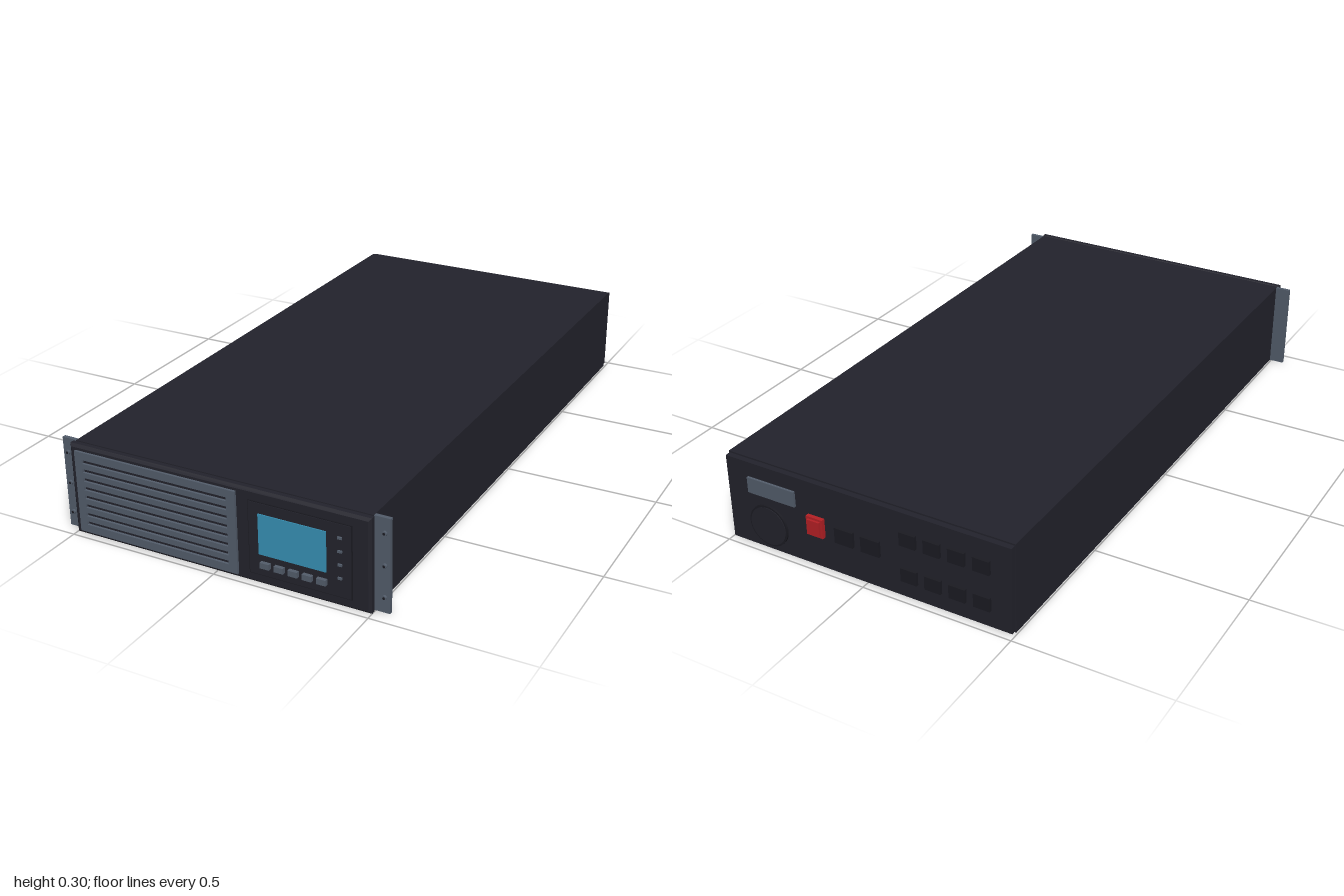
import * as THREE from 'three';

const mat = (name, color) => {
  const m = new THREE.MeshStandardMaterial({ color });
  m.name = name;
  return m;
};

// Rectangle path centred on (x, y)
function rect(path, x, y, w, h) {
  path.moveTo(x - w / 2, y - h / 2);
  path.lineTo(x + w / 2, y - h / 2);
  path.lineTo(x + w / 2, y + h / 2);
  path.lineTo(x - w / 2, y + h / 2);
  path.closePath();
  return path;
}

export function createModel() {
  const model = new THREE.Group();
  model.name = 'rackUnit';
  const dark = mat('dark casing', 0x23232c);
  const black = mat('black trim', 0x1b1b22);
  const slate = mat('slate metal', 0x535d6b);
  const blue = mat('blue screen', 0x3892b6);
  const red = mat('red switch', 0xb52025);

  const add = (name, geometry, material, x = 0, y = 0, z = 0, parent = model) => {
    const mesh = new THREE.Mesh(geometry, material);
    mesh.name = name;
    mesh.position.set(x, y, z);
    parent.add(mesh);
    return mesh;
  };
  // Box spanning z0..z1
  const box = (name, material, x, y, w, h, z0, z1) =>
    add(name, new THREE.BoxGeometry(w, h, z1 - z0), material, x, y, (z0 + z1) / 2);
  // Disc facing along z, spanning z0..z1
  const disc = (name, material, x, y, r, z0, z1) =>
    add(name, new THREE.CylinderGeometry(r, r, z1 - z0, 32).rotateX(Math.PI / 2), material, x, y, (z0 + z1) / 2);

  // Main case
  box('case', dark, 0, 0.149, 0.99, 0.297, -0.962, 0.955);
  box('rearPlate', dark, 0, 0.149, 0.985, 0.286, -0.98, -0.962);

  // Front bezel with chamfered rim
  const bezel = new THREE.ExtrudeGeometry(rect(new THREE.Shape(), 0, 0.149, 0.984, 0.282), {
    depth: 0.014, bevelEnabled: true, bevelThickness: 0.008, bevelSize: 0.008, bevelSegments: 1,
  });
  add('frontBezel', bezel, dark, 0, 0, 0.961);

  // Vent grille with eight open slots
  const grille = rect(new THREE.Shape(), -0.2, 0.149, 0.554, 0.266);
  for (let i = 0; i < 8; i++) {
    grille.holes.push(rect(new THREE.Path(), -0.2015, 0.047 + i * 0.0292, 0.499, 0.012));
  }
  add('ventGrille', new THREE.ExtrudeGeometry(grille, { depth: 0.009, bevelEnabled: false }), slate, 0, 0, 0.982);

  // Control panel: thin dark outline, panel, screen
  box('controlPanelEdge', black, 0.28, 0.149, 0.33, 0.234, 0.98, 0.986);
  box('controlPanel', dark, 0.28, 0.149, 0.324, 0.228, 0.98, 0.988);
  box('screen', blue, 0.258, 0.1665, 0.216, 0.129, 0.986, 0.991);

  // Buttons and indicators
  for (let i = 0; i < 5; i++) {
    box('button', slate, 0.172 + i * 0.0453, 0.072, 0.03, 0.018, 0.985, 1.0);
  }
  for (let i = 0; i < 4; i++) {
    box('indicator', slate, 0.409, 0.222 - i * 0.0423, 0.013, 0.007, 0.985, 0.993);
  }

  // Rack ears with screws
  for (const side of [1, -1]) {
    box('rackEar', slate, side * 0.52, 0.149, 0.05, 0.297, 0.943, 0.955);
    for (const y of [0.05, 0.15, 0.251]) {
      disc('earScrew', slate, side * 0.528, y, 0.0075, 0.95, 0.962);
      disc('screwRecess', black, side * 0.528, y, 0.004, 0.96, 0.9625);
    }
  }

  // Rear: rating label, fan, power switch
  box('ratingLabel', slate, 0.327, 0.217, 0.172, 0.052, -0.988, -0.978);
  disc('fanRim', black, 0.348, 0.09, 0.07, -0.986, -0.978);
  disc('fanCover', dark, 0.348, 0.09, 0.064, -0.988, -0.98);
  box('switchBase', red, 0.168, 0.149, 0.058, 0.064, -0.993, -0.978);
  box('switchRocker', red, 0.168, 0.149, 0.044, 0.05, -1.0, -0.99);

  // Rear sockets
  for (const x of [0.067, -0.025]) {
    box('powerInlet', black, x, 0.143, 0.064, 0.052, -0.99, -0.978);
  }
  for (const y of [0.208, 0.085]) {
    for (let i = 0; i < 4; i++) {
      box('outlet', black, -0.156 - i * 0.081, y, 0.054, 0.045, -0.99, -0.978);
    }
  }
  return model;
}
